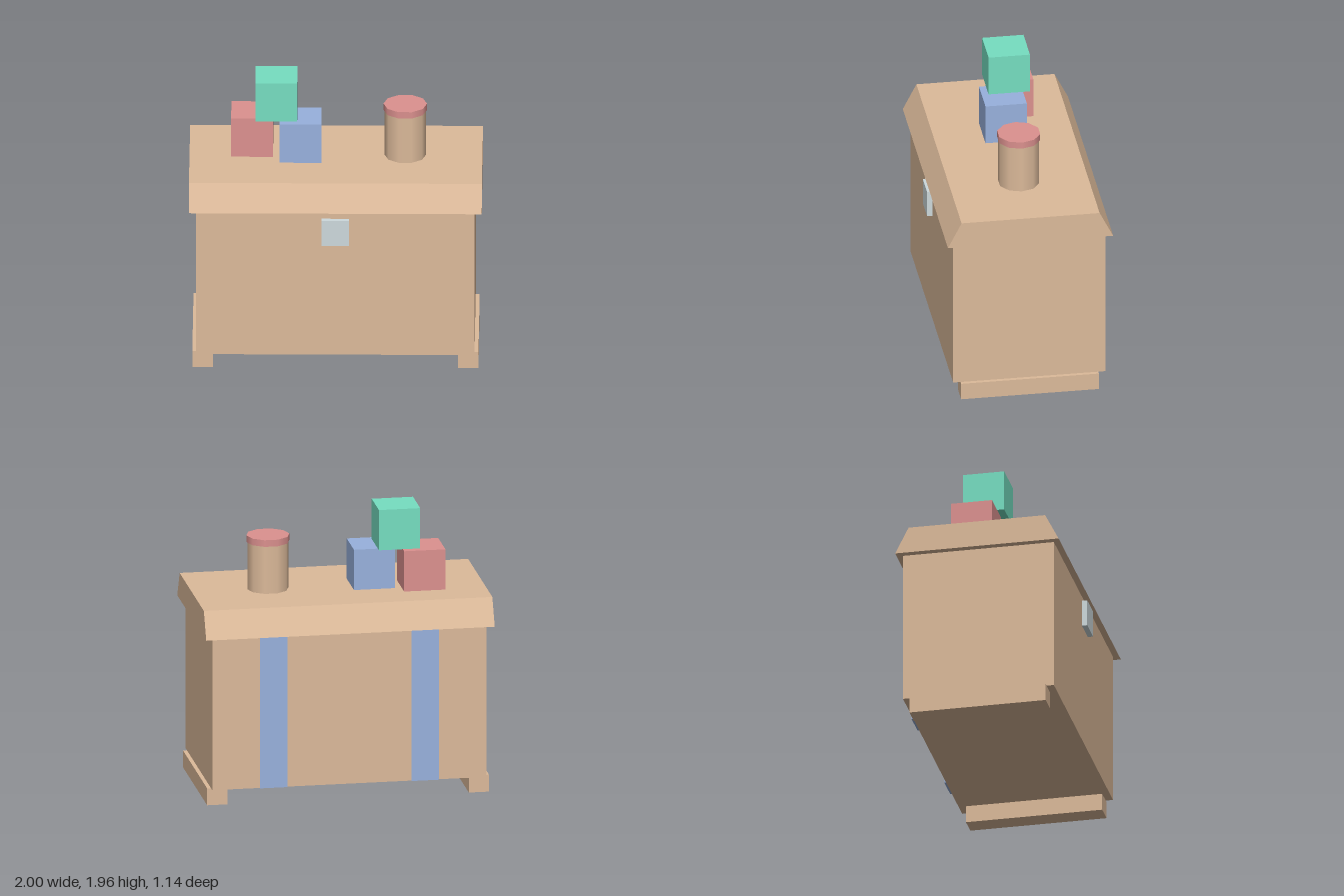
import * as THREE from 'three';

export function createModel() {
  const group = new THREE.Group();
  const paint = (name, color) => {
    const m = new THREE.MeshStandardMaterial({ color });
    m.name = name;
    return m;
  };
  const wood = paint('wood', 0xdcba9a);
  const red = paint('red', 0xdc918f);
  const blue = paint('blue', 0x98b1dd);
  const green = paint('green', 0x76dec1);
  const metal = paint('metal', 0xcdd9dc);

  const add = (name, geometry, material, x, y, z) => {
    const mesh = new THREE.Mesh(geometry, material);
    mesh.name = name;
    mesh.position.set(x, y, z);
    group.add(mesh);
    return mesh;
  };
  // Box resting on height y
  const box = (name, w, h, d, material, x, y, z) =>
    add(name, new THREE.BoxGeometry(w, h, d), material, x, y + h / 2, z);

  // Chest
  box('chestBody', 1.9, 1.077, 1.054, wood, 0, 0.12, 0);

  // Lid: trapezoid section swept along x
  const section = new THREE.Shape([
    new THREE.Vector2(-0.571, 1.197),
    new THREE.Vector2(0.571, 1.197),
    new THREE.Vector2(0.477, 1.382),
    new THREE.Vector2(-0.477, 1.382),
  ]);
  const lid = new THREE.ExtrudeGeometry(section, { depth: 2, bevelEnabled: false });
  lid.translate(0, 0, -1).rotateY(Math.PI / 2);
  add('lid', lid, wood, 0, 0, 0);

  // Foot rails and back straps, mirrored
  for (const [side, s] of [['left', 1], ['right', -1]]) {
    box(side + 'FootRail', 0.14, 0.12, 0.952, wood, s * 0.907, 0, 0);
    box(side + 'BackStrap', 0.19, 1.077, 0.012, blue, s * 0.525, 0.12, -0.533);
  }

  // Latch plate, standing just clear of the front
  box('latch', 0.188, 0.188, 0.037, metal, 0, 0.956, 0.5555);

  // Stacked toy blocks
  const c = 0.286;
  box('redBlock', c, c, c, red, -0.573, 1.382, -0.099);
  box('blueBlock', c, c, c, blue, -0.242, 1.382, -0.003);
  box('greenBlock', c, c, c, green, -0.407, 1.669, -0.05);

  // Ten-sided jar with cap
  const jar = (name, r, y0, y1, material) => {
    const geometry = new THREE.CylinderGeometry(r, r, y1 - y0, 10).rotateY(Math.PI / 2);
    add(name, geometry, material, 0.473, (y0 + y1) / 2, 0);
  };
  jar('jarBody', 0.142, 1.382, 1.718, wood);
  jar('jarCap', 0.149, 1.718, 1.765, red);

  return group;
}
